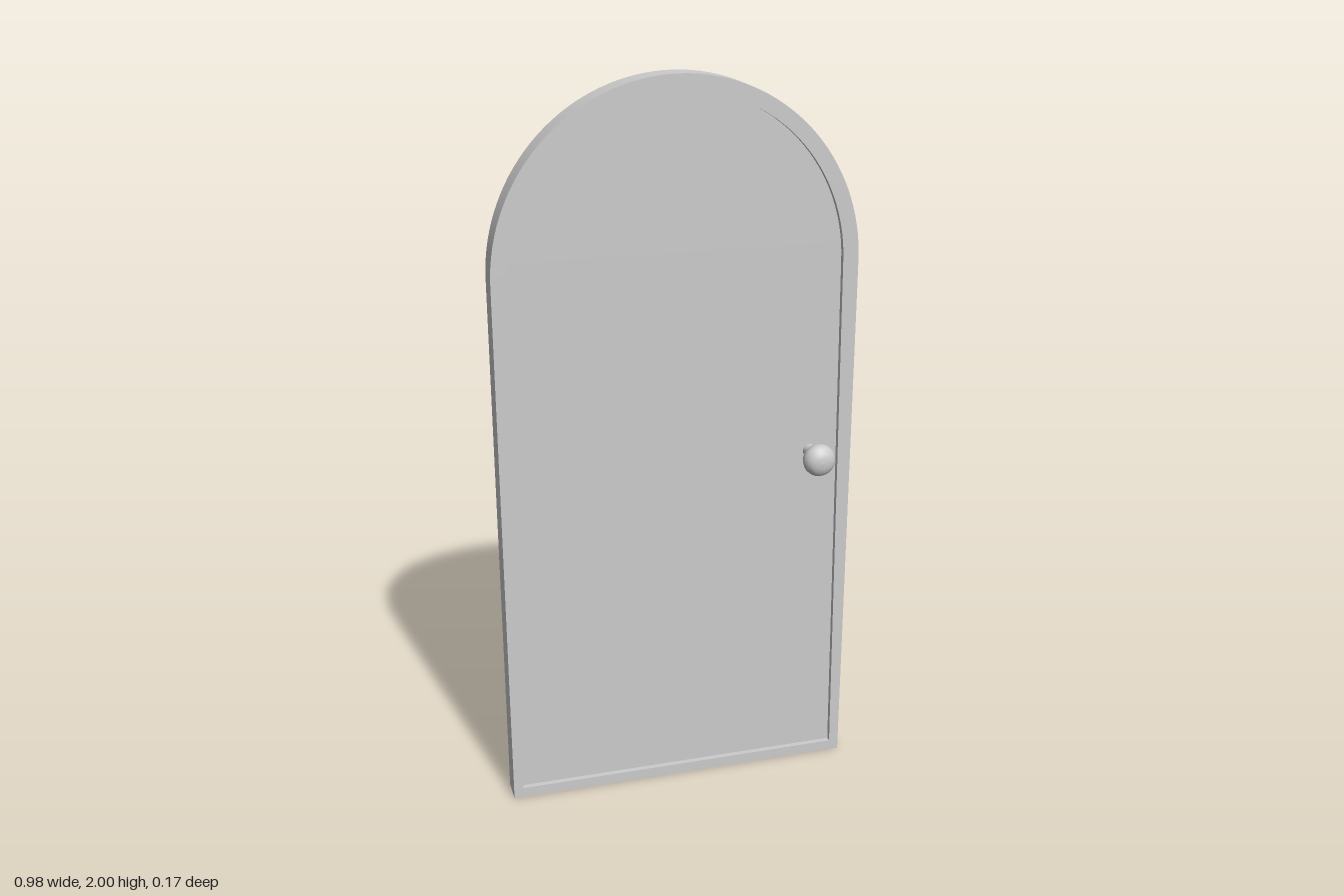
import * as THREE from 'three';
import { toCreasedNormals } from 'three/addons/utils/BufferGeometryUtils.js';

const BACK = -0.085, FLOOR = -0.025, FRONT = -0.01;

// Arched outline; half-widths at the foot and at the spring of the arch.
function archOutline(PathType, foot, spring, bottom, springY, top) {
  const p = new PathType();
  p.moveTo(-foot, bottom);
  p.lineTo(foot, bottom);
  p.lineTo(spring, springY);
  p.absellipse(0, springY, spring, top - springY, 0, Math.PI, false, 0);
  p.lineTo(-foot, bottom);
  return p;
}

function extrudeBetween(shape, z0, z1) {
  const g = new THREE.ExtrudeGeometry(shape, { depth: z1 - z0, bevelEnabled: false, curveSegments: 32 });
  g.translate(0, 0, z0);
  return toCreasedNormals(g, Math.PI / 6);
}

export function createModel() {
  const group = new THREE.Group();
  group.name = 'archedDoor';
  const material = new THREE.MeshStandardMaterial({ color: 0xcccccc });
  const add = (name, geometry) => {
    const mesh = new THREE.Mesh(geometry, material);
    mesh.name = name;
    group.add(mesh);
    return mesh;
  };
  const outer = () => archOutline(THREE.Shape, 0.49, 0.49, 0, 1.5, 2);

  // Door slab, whose front is the recessed panel
  add('doorPanel', extrudeBetween(outer(), BACK, FLOOR));

  // Raised rim around the panel, tapering slightly towards the arch
  const rim = outer();
  rim.holes.push(archOutline(THREE.Path, 0.463, 0.447, 0.03, 1.5, 1.96));
  add('doorRim', extrudeBetween(rim, FLOOR, FRONT));

  // Turned knob: thin stem flaring into a flattened ball
  const profile = [
    [0.019, FLOOR], [0.018, 0.0], [0.02, 0.01], [0.026, 0.018], [0.036, 0.027], [0.042, 0.037],
    [0.045, 0.05], [0.044, 0.06], [0.038, 0.072], [0.028, 0.08], [0.014, 0.084], [0, 0.085],
  ].map(([r, z]) => new THREE.Vector2(r, z));
  const knob = new THREE.LatheGeometry(profile, 32);
  knob.rotateX(Math.PI / 2);
  add('doorKnob', knob).position.set(0.375, 0.967, 0);

  return group;
}
